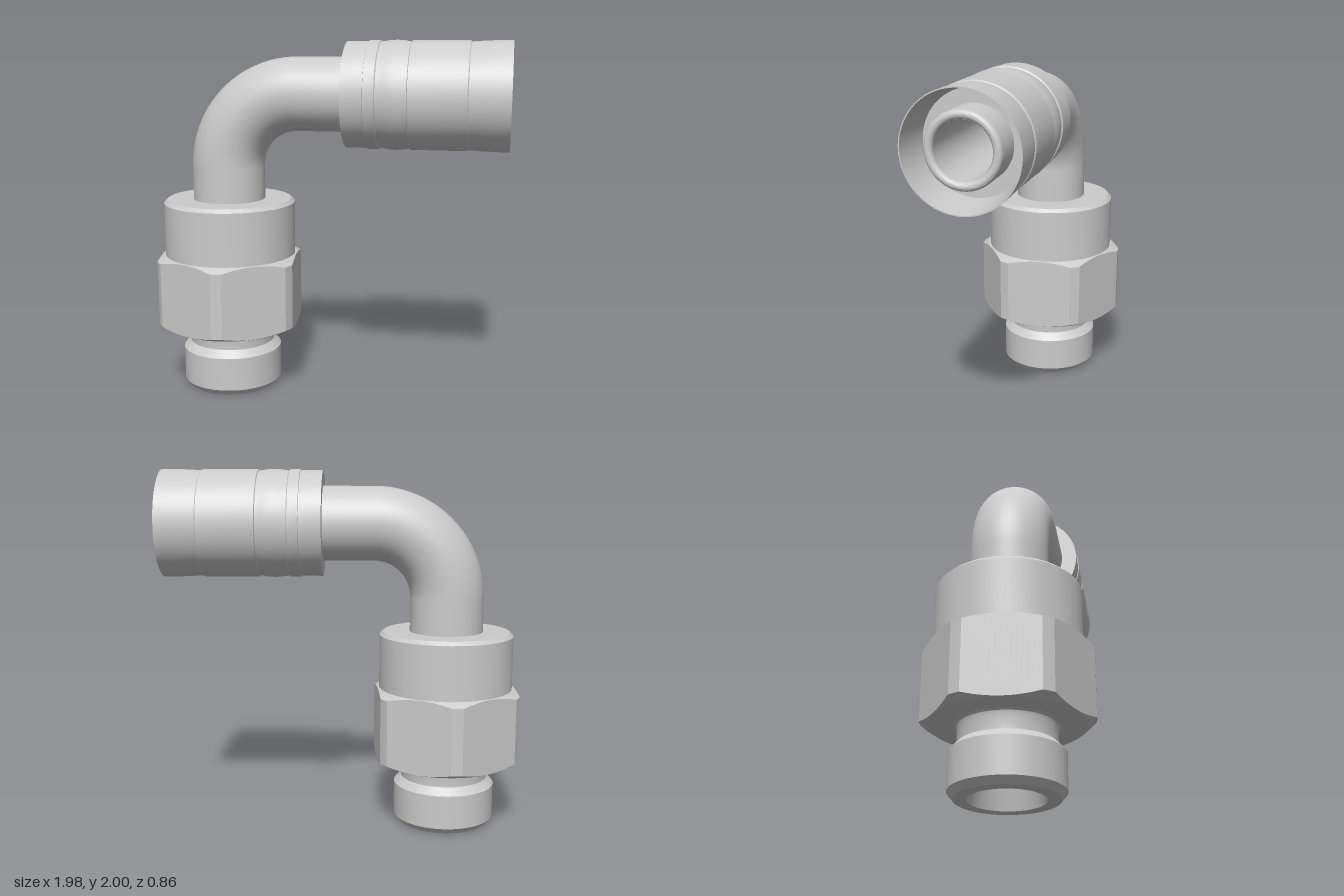
import * as THREE from 'three';
import { toCreasedNormals } from 'three/addons/utils/BufferGeometryUtils.js';

const AXIS_X = -0.59; // vertical axis of the screw end
const AXIS_Y = 1.705; // horizontal axis of the hose end
const PIPE_R = 0.205, BORE_R = 0.145, BEND_R = 0.41;

const grey = new THREE.MeshStandardMaterial({ color: 0xcccccc });
const greyDouble = new THREE.MeshStandardMaterial({ color: 0xcccccc, side: THREE.DoubleSide });

function addMesh(parent, name, geometry, material = grey) {
  const mesh = new THREE.Mesh(geometry, material);
  mesh.name = name;
  parent.add(mesh);
  return mesh;
}

// Turned part from [radius, height] pairs: up the outside, down the inside
function turned(profile) {
  const points = profile.map(([r, y]) => new THREE.Vector2(r, y));
  return toCreasedNormals(new THREE.LatheGeometry(points, 72), 0.4);
}

// Path up the vertical axis, round the bend and out along the hose axis
function elbowPath(yStart, xEnd) {
  const v = (x, y) => new THREE.Vector3(x, y, 0);
  const k = BEND_R * 0.5523;
  const a = v(AXIS_X, AXIS_Y - BEND_R), b = v(AXIS_X + BEND_R, AXIS_Y);
  const path = new THREE.CurvePath();
  path.add(new THREE.LineCurve3(v(AXIS_X, yStart), a));
  path.add(new THREE.CubicBezierCurve3(a, v(a.x, a.y + k), v(b.x - k, b.y), b));
  path.add(new THREE.LineCurve3(b, v(xEnd, AXIS_Y)));
  return path;
}

// Hexagon with its corners turned down to a cylinder and conical end chamfers
function hexNut(bottom, top, apothem, cornerR, innerR, turn) {
  const half = Math.acos(apothem / cornerR);
  const cornerStep = (Math.PI / 3 - 2 * half) / 2;
  const angles = [];
  for (let side = 0; side < 6; side++) {
    const mid = side * Math.PI / 3;
    for (let i = 0; i <= 14; i++) angles.push([mid, -half + (2 * half * i) / 14]);
    angles.push([mid, half + cornerStep]);
  }
  const positions = [], index = [], n = angles.length;
  const flatR = apothem - 0.003;
  for (let ring = 0; ring < 6; ring++) {
    for (const [mid, t] of angles) {
      const edgeR = Math.min(apothem / Math.cos(t), cornerR);
      const drop = (edgeR - flatR) * 0.55;
      const r = [innerR, flatR, edgeR, edgeR, flatR, innerR][ring];
      const y = [bottom, bottom, bottom + drop, top - drop, top, top][ring];
      const a = mid + t + turn;
      positions.push(r * Math.cos(a), y, -r * Math.sin(a));
    }
  }
  for (let ring = 0; ring < 5; ring++) {
    for (let j = 0; j < n; j++) {
      const a = ring * n + j, b = ring * n + (j + 1) % n;
      index.push(a, b, b + n, a, b + n, a + n);
    }
  }
  const geometry = new THREE.BufferGeometry();
  geometry.setAttribute('position', new THREE.Float32BufferAttribute(positions, 3));
  geometry.setIndex(index);
  return toCreasedNormals(geometry, 0.35);
}

export function createModel() {
  const model = new THREE.Group();
  model.name = 'elbowHoseFitting';

  // Bent pipe and the bore running through the whole fitting
  addMesh(model, 'elbowPipe', new THREE.TubeGeometry(elbowPath(1.05, 0.14), 96, PIPE_R, 48));
  addMesh(model, 'bore', new THREE.TubeGeometry(elbowPath(0.2, 0.94), 120, BORE_R, 48), greyDouble);

  // Screw end
  const screwEnd = new THREE.Group();
  screwEnd.name = 'screwEnd';
  screwEnd.position.x = AXIS_X;
  model.add(screwEnd);
  addMesh(screwEnd, 'threadedSpigot', turned([
    [0.145, 0.2], [0.19, 0], [0.255, 0], [0.285, 0.035], [0.285, 0.225],
    [0.245, 0.265], [0.245, 0.34], [0.249, 0.354], [0.258, 0.363], [0.27, 0.368],
  ]));
  addMesh(screwEnd, 'hexNut', hexNut(0.365, 0.785, 0.387, 0.43, 0.2, THREE.MathUtils.degToRad(5)));
  addMesh(screwEnd, 'collar', turned([
    [0.375, 0.78], [0.375, 1.085], [0.355, 1.105], [0.19, 1.105],
  ]));

  // Hose end, turned about the horizontal axis
  const hoseEnd = new THREE.Group();
  hoseEnd.name = 'hoseEnd';
  hoseEnd.position.y = AXIS_Y;
  hoseEnd.rotation.z = -Math.PI / 2;
  model.add(hoseEnd);
  addMesh(hoseEnd, 'crimpSleeve', turned([
    [0.19, 0.1], [0.29, 0.1], [0.29, 0.22], [0.295, 0.222], [0.295, 0.28],
    [0.288, 0.285], [0.288, 0.29], [0.294, 0.325], [0.297, 0.37], [0.294, 0.415], [0.288, 0.445],
    [0.288, 0.45], [0.295, 0.454], [0.295, 0.762], [0.289, 0.768], [0.293, 0.83],
    [0.296, 0.9], [0.297, 0.985], [0.291, 0.985], [0.265, 0.77], [0.17, 0.77],
  ]));

  // Nipple with a rounded lip
  const nipple = [[0.19, 0.74]];
  const lip = 0.0225;
  for (let i = 0; i <= 10; i++) {
    const a = (i / 10) * Math.PI;
    nipple.push([0.1675 + lip * Math.cos(a), 0.935 + lip * Math.sin(a)]);
  }
  addMesh(hoseEnd, 'nipple', turned(nipple));

  return model;
}
